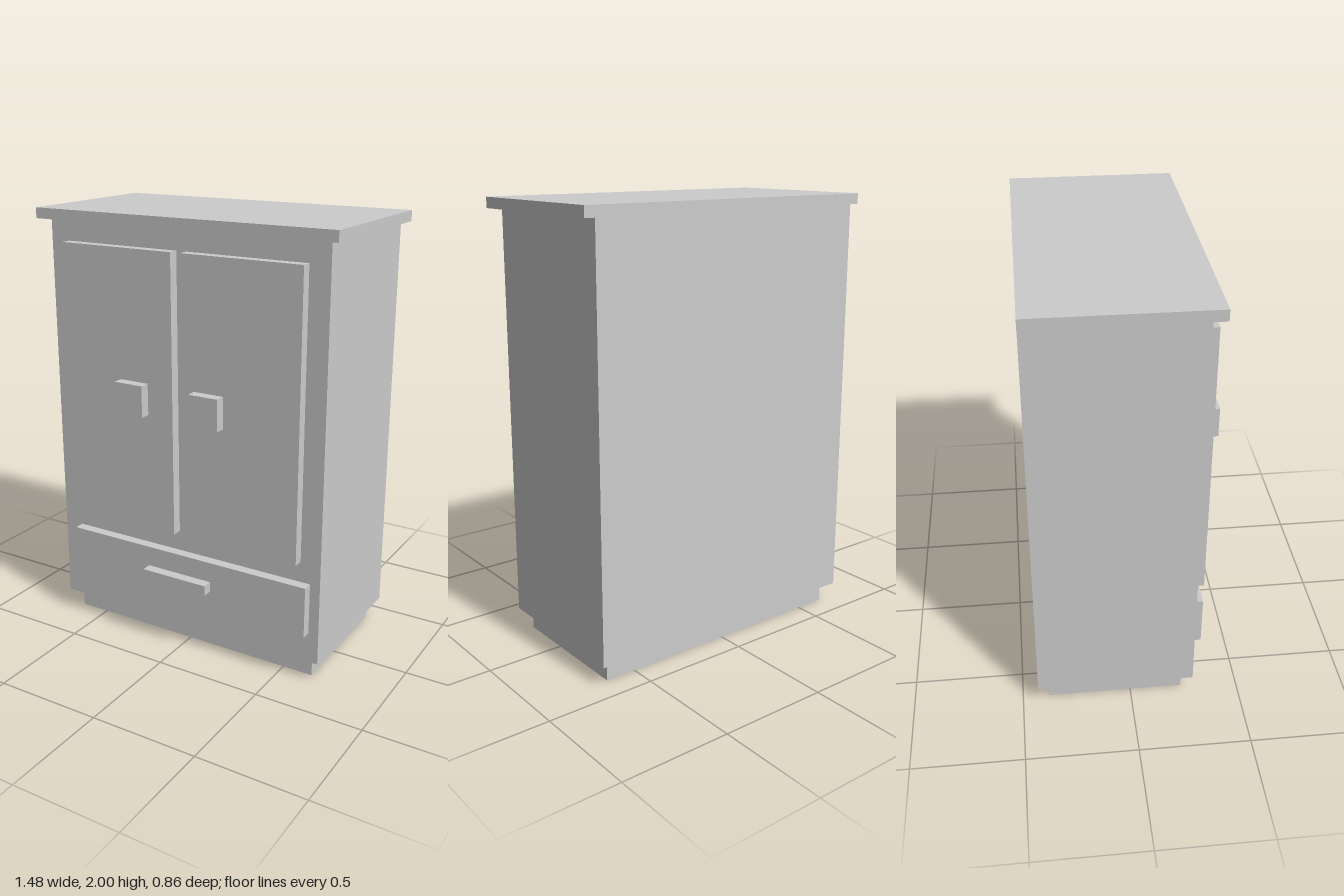
import * as THREE from 'three';

// The whole cabinet sits on a regular grid, 42 steps tall
const U = 2 / 42;

export function createModel() {
  const cabinet = new THREE.Group();
  cabinet.name = 'cabinet';
  const material = new THREE.MeshStandardMaterial({ color: 0xcccccc, flatShading: true });

  // Box from its extents [min, max] in grid steps
  function addBox(parent, name, [x0, x1], [y0, y1], [z0, z1]) {
    const geometry = new THREE.BoxGeometry((x1 - x0) * U, (y1 - y0) * U, (z1 - z0) * U);
    const mesh = new THREE.Mesh(geometry, material);
    mesh.position.set(((x0 + x1) / 2) * U, ((y0 + y1) / 2) * U, ((z0 + z1) / 2) * U);
    mesh.name = name;
    parent.add(mesh);
  }

  // Carcass: recessed plinth, body and overhanging top, flush at the back
  addBox(cabinet, 'plinth', [-13.5, 13.5], [0, 2], [-8, 5]);
  addBox(cabinet, 'body', [-14.5, 14.5], [2, 41], [-9, 6]);
  addBox(cabinet, 'top', [-15.5, 15.5], [41, 42], [-9, 7]);

  // Pair of doors, each with a square knob on a short stem
  for (const [side, s] of [['left', 1], ['right', -1]]) {
    const door = new THREE.Group();
    door.name = side + 'Door';
    const span = (a, b) => (s > 0 ? [a, b] : [-b, -a]);
    addBox(door, side + 'DoorPanel', span(0.5, 12.5), [12, 39], [6, 7]);
    addBox(door, side + 'KnobStem', span(3.5, 4.5), [25, 26], [7, 8]);
    addBox(door, side + 'Knob', span(2.5, 5.5), [24, 27], [8, 9]);
    cabinet.add(door);
  }

  // Drawer, one step wider on the left, with a bar handle
  const drawer = new THREE.Group();
  drawer.name = 'drawer';
  addBox(drawer, 'drawerFront', [-12.5, 13.5], [5, 10], [6, 7]);
  addBox(drawer, 'drawerHandle', [-3.5, 3.5], [7, 8], [7, 8]);
  cabinet.add(drawer);

  return cabinet;
}
